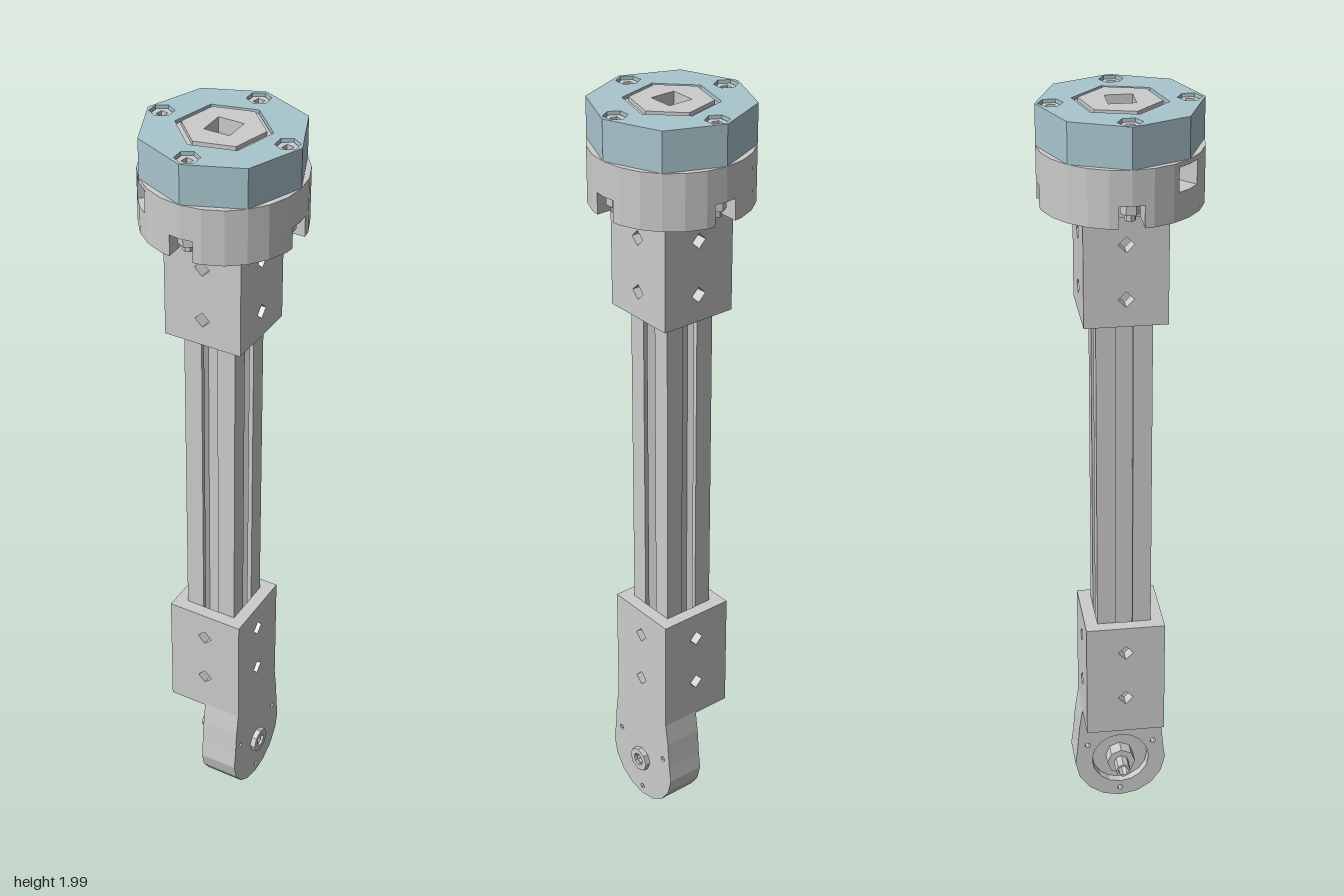
import * as THREE from 'three';

const grey = new THREE.MeshStandardMaterial({ color: 0xcccccc, flatShading: true, side: THREE.DoubleSide });
const blue = new THREE.MeshStandardMaterial({ color: 0xa9c5ce, flatShading: true, side: THREE.DoubleSide });
const V = (x, y) => new THREE.Vector2(x, y);

// Regular polygon points
function ngon(n, r, cx = 0, cy = 0, turn = 0) {
  return Array.from({ length: n }, (_, i) => {
    const a = turn + (i / n) * Math.PI * 2;
    return V(cx + r * Math.cos(a), cy + r * Math.sin(a));
  });
}

function extrude(points, holes, depth) {
  const shape = new THREE.Shape(points);
  holes.forEach((h) => shape.holes.push(new THREE.Path(h)));
  return new THREE.ExtrudeGeometry(shape, { depth, bevelEnabled: false });
}

export function createModel() {
  const model = new THREE.Group();
  const add = (name, geo, mat = grey, parent = model) => {
    const m = new THREE.Mesh(geo, mat);
    m.name = name;
    parent.add(m);
    return m;
  };
  // Horizontal slab between two heights
  const slab = (name, pts, holes, y0, y1, mat) =>
    add(name, extrude(pts, holes, y1 - y0).rotateX(-Math.PI / 2).translate(0, y0, 0), mat);
  // Upright slab across the x axis between two x positions
  const cheek = (name, pts, holes, x0, x1) =>
    add(name, extrude(pts, holes, x1 - x0).rotateY(Math.PI / 2).translate(x0, 0, 0));

  // Slotted rail with a square bore
  const quarter = [[0.022, 0.07], [0.022, 0.058], [0.045, 0.058], [0.045, 0.05], [0.026, 0.03],
    [0.03, 0.026], [0.05, 0.045], [0.058, 0.045], [0.058, 0.022], [0.07, 0.022], [0.07, 0.07]];
  // One corner arm plus the core, turned four times
  const rail = [];
  for (let k = 0; k < 4; k++) {
    const c = Math.round(Math.cos(k * Math.PI / 2)), s = Math.round(Math.sin(k * Math.PI / 2));
    [...quarter.slice(9), ...quarter.slice(0, 9)].slice(1).concat([]).forEach(([x, y]) => {
      // walk from the outer corner inward along the slot on the +y side
      if (y >= x) rail.push(V(c * x - s * y, s * x + c * y));
    });
    [[-0.026, 0.03], [-0.045, 0.05], [-0.045, 0.058], [-0.022, 0.058], [-0.022, 0.07]].forEach(([x, y]) =>
      rail.push(V(c * x - s * y, s * x + c * y)));
  }
  slab('rail', rail, [ngon(4, 0.021, 0, 0, Math.PI / 4)], 0.34, 1.755);

  // Square sleeves from four walls with diamond screw holes
  function sleeve(name, y0, y1, holeYs) {
    const g = new THREE.Group();
    g.name = name;
    model.add(g);
    const w = 0.103, t = 0.07;
    const wall = extrude([V(-w, y0), V(t, y0), V(t, y1), V(-w, y1)],
      holeYs.map((y) => ngon(4, 0.02, 0, y)), w - t).translate(0, 0, t);
    for (let k = 0; k < 4; k++) add('sleeveWall', wall, grey, g).rotation.y = k * Math.PI / 2;
  }
  sleeve('upperSleeve', 1.47, 1.755, [1.54, 1.68]);
  sleeve('lowerSleeve', 0.295, 0.615, [0.4, 0.54]);
  add('lowerSleeveFloor', new THREE.BoxGeometry(0.2, 0.045, 0.2).translate(0, 0.318, 0));

  // Rounded leg on one side, with a bearing pocket on its inner face
  const cy = 0.13;
  const leg = [V(0.103, 0.3), V(-0.103, 0.3), V(-0.112, 0.24)];
  for (let i = 0; i <= 10; i++) {
    const a = Math.PI * (0.9 + i * 0.12);
    leg.push(V(0.124 * Math.cos(a), cy + 0.124 * Math.sin(a)));
  }
  leg.push(V(0.112, 0.24));
  const screwSpots = [[-0.09, 0.18], [0.09, 0.18], [0, 0.03]];
  const screwHoles = () => screwSpots.map(([z, y]) => ngon(6, 0.008, z, y));
  cheek('legInner', leg, [ngon(16, 0.078, 0, cy), ...screwHoles()], 0, 0.075);
  cheek('legOuter', leg, [ngon(8, 0.034, 0, cy), ...screwHoles()], 0.075, 0.103);

  // Bearing and hollow axle
  const ring = (name, ro, ri, x0, x1, n) => cheek(name, ngon(n, ro, 0, cy), [ngon(n, ri, 0, cy)], x0, x1);
  ring('bearing', 0.076, 0.035, 0.02, 0.075, 16);
  ring('axle', 0.02, 0.014, -0.06, 0.11, 8);
  ring('axleCollar', 0.038, 0.018, -0.018, 0.02, 8);
  ring('axleCap', 0.034, 0.018, 0.1, 0.117, 8);
  add('stopScrew', new THREE.CylinderGeometry(0.018, 0.018, 0.025, 6).translate(-0.015, 0.285, 0));

  // Round housing in layers, with slots around the foot and one window
  const bore = () => ngon(4, 0.047, 0, 0, Math.PI / 4);
  function housing(y0, y1, slots, depthR = 0.12, half = 0.03) {
    const R = 0.2, n = 24, pts = [];
    for (let i = 0; i < n; i++) {
      const a = (i / n) * Math.PI * 2;
      if (!slots.includes(i)) { pts.push(V(R * Math.cos(a), R * Math.sin(a))); continue; }
      const p = (r, h) => pts.push(V(r * Math.cos(a) - h * Math.sin(a), r * Math.sin(a) + h * Math.cos(a)));
      p(R * 0.98, -half); p(depthR, -half); p(depthR, half); p(R * 0.98, half);
    }
    slab('housing', pts, [bore()], y0, y1);
  }
  housing(1.755, 1.81, [0, 6, 12, 18]);
  housing(1.81, 1.825, []);
  housing(1.825, 1.885, [15], 0.14, 0.035);
  housing(1.885, 1.897, []);

  // Eight-sided cover with hexagonal pockets
  const spots = [0, 1, 2, 3].map((k) => [Math.cos(k * Math.PI / 2) * 0.163, Math.sin(k * Math.PI / 2) * 0.163]);
  slab('coverBase', ngon(8, 0.2), [bore()], 1.897, 1.965, blue);
  slab('coverTop', ngon(8, 0.2),
    [ngon(6, 0.115, 0, 0, Math.PI / 12), ...spots.map(([x, y]) => ngon(6, 0.03, x, y, Math.PI / 6))],
    1.965, 1.998, blue);

  // Central hub with a square socket
  slab('hubFlange', ngon(6, 0.113, 0, 0, Math.PI / 12), [bore()], 1.965, 1.99);
  slab('hub', ngon(6, 0.1, 0, 0, Math.PI / 12), [bore()], 1.99, 2);

  // Cover bolts, their ends showing in the housing slots
  for (const [x, y] of spots) {
    slab('boltHead', ngon(6, 0.027, x, y, Math.PI / 6), [ngon(4, 0.014, x, y, 0.6)], 1.965, 1.99);
    slab('boltEnd', ngon(6, 0.024, x, y, Math.PI / 6), [], 1.782, 1.81);
    slab('boltTip', ngon(8, 0.014, x, y), [], 1.765, 1.782);
  }
  return model;
}
